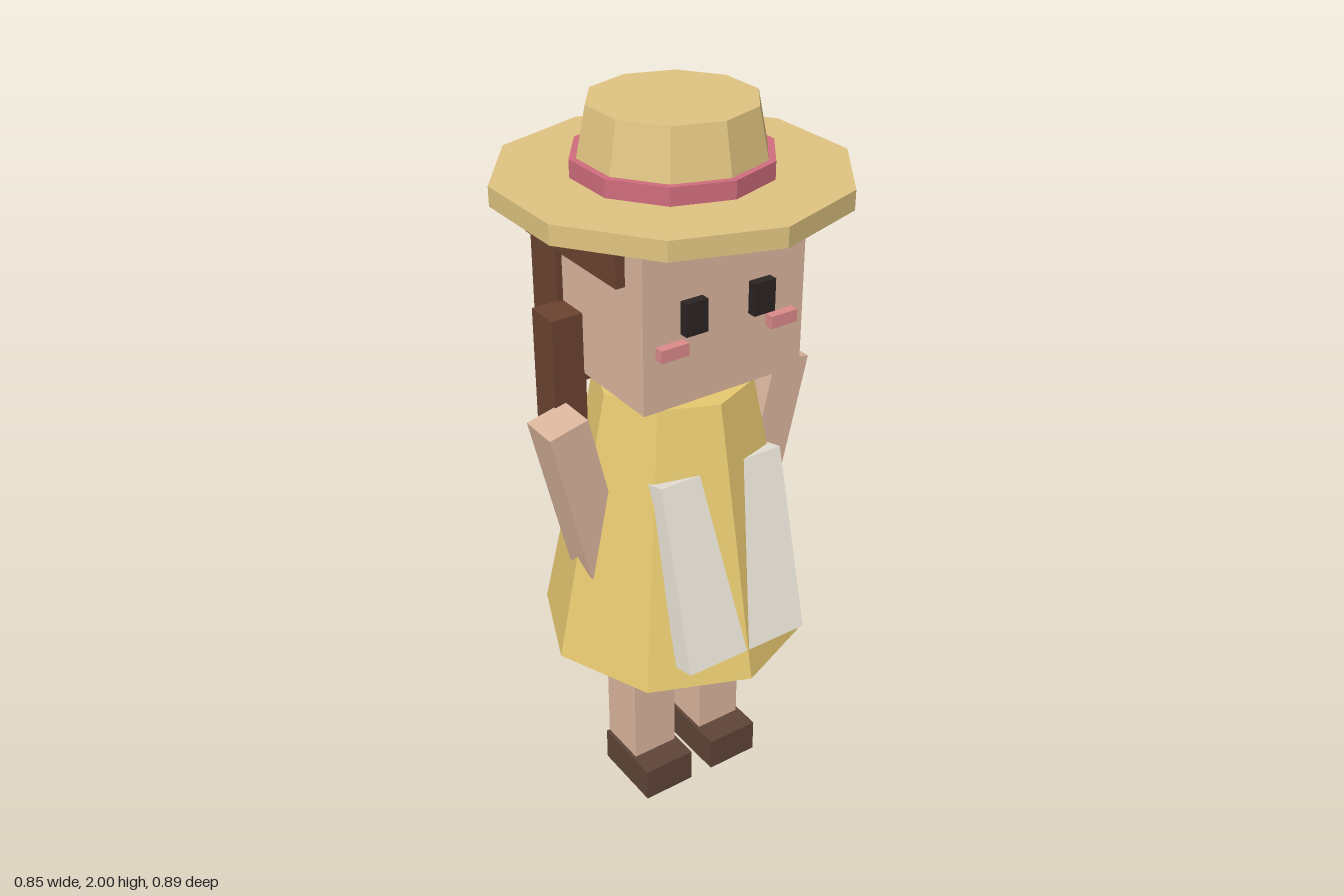
import * as THREE from 'three';

const mat = (color) => new THREE.MeshStandardMaterial({ color, flatShading: true });
const skin = mat(0xdbb69d), hair = mat(0x6b4330), cloth = mat(0xe6c870), straw = mat(0xdfc380),
  pink = mat(0xd06c7c), blush = mat(0xdb8a8a), white = mat(0xece6da), leather = mat(0x5e4438), dark = mat(0x2b2423);

export function createModel() {
  const model = new THREE.Group();
  model.name = 'girlWithStrawHat';

  const add = (name, geometry, material) => {
    const mesh = new THREE.Mesh(geometry, material);
    mesh.name = name;
    model.add(mesh);
    return mesh;
  };
  // Box given by its extents along each axis
  const box = (name, material, [x0, x1], [y0, y1], [z0, z1]) => {
    const mesh = add(name, new THREE.BoxGeometry(x1 - x0, y1 - y0, z1 - z0), material);
    mesh.position.set((x0 + x1) / 2, (y0 + y1) / 2, (z0 + z1) / 2);
    return mesh;
  };
  // Upright faceted cone or cylinder between two heights
  const drum = (name, material, rTop, rBottom, y0, y1, sides) => {
    const mesh = add(name, new THREE.CylinderGeometry(rTop, rBottom, y1 - y0, sides), material);
    mesh.position.y = (y0 + y1) / 2;
    return mesh;
  };

  // Dress, with a tilted apron panel that the front ridge pokes through
  drum('dress', cloth, 0.21, 0.37, 0.515, 1.28, 8);
  const apron = add('apron', new THREE.BoxGeometry(0.37, 0.52, 0.068), white);
  apron.position.set(0, 0.842, 0.252);
  apron.rotation.x = -0.257;

  // Head and hair
  box('head', skin, [-0.235, 0.235], [1.325, 1.77], [-0.22, 0.22]);
  box('hairCap', hair, [-0.26, 0.26], [1.635, 1.785], [-0.27, 0.147]);
  box('hairBack', hair, [-0.252, 0.252], [1.248, 1.7], [-0.26, -0.14]);

  // Paired parts
  for (const s of [1, -1]) {
    const side = s > 0 ? 'left' : 'right';
    const pair = (part, material, [a, b], y, z) =>
      box(side + part, material, s > 0 ? [a, b] : [-b, -a], y, z);
    pair('Eye', dark, [0.068, 0.13], [1.515, 1.6], [0.2, 0.245]);
    pair('Cheek', blush, [0.122, 0.2], [1.467, 1.5], [0.2, 0.245]);
    pair('HairLock', hair, [0.23, 0.322], [1.122, 1.49], [-0.145, -0.05]);
    pair('Leg', skin, [0.045, 0.18], [0.09, 0.56], [-0.07, 0.072]);
    pair('Shoe', leather, [0.035, 0.19], [0, 0.1], [-0.07, 0.147]);

    const arm = add(side + 'Arm', new THREE.BoxGeometry(0.113, 0.468, 0.113), skin);
    arm.position.set(s * 0.294, 1.017, 0);
    arm.rotation.z = -s * 0.228;
  }

  // Straw hat
  drum('hatBrim', straw, 0.445, 0.445, 1.78, 1.83, 10);
  drum('hatBand', pink, 0.253, 0.253, 1.82, 1.875, 10);
  drum('hatCrown', straw, 0.21, 0.245, 1.825, 2, 10);

  return model;
}
